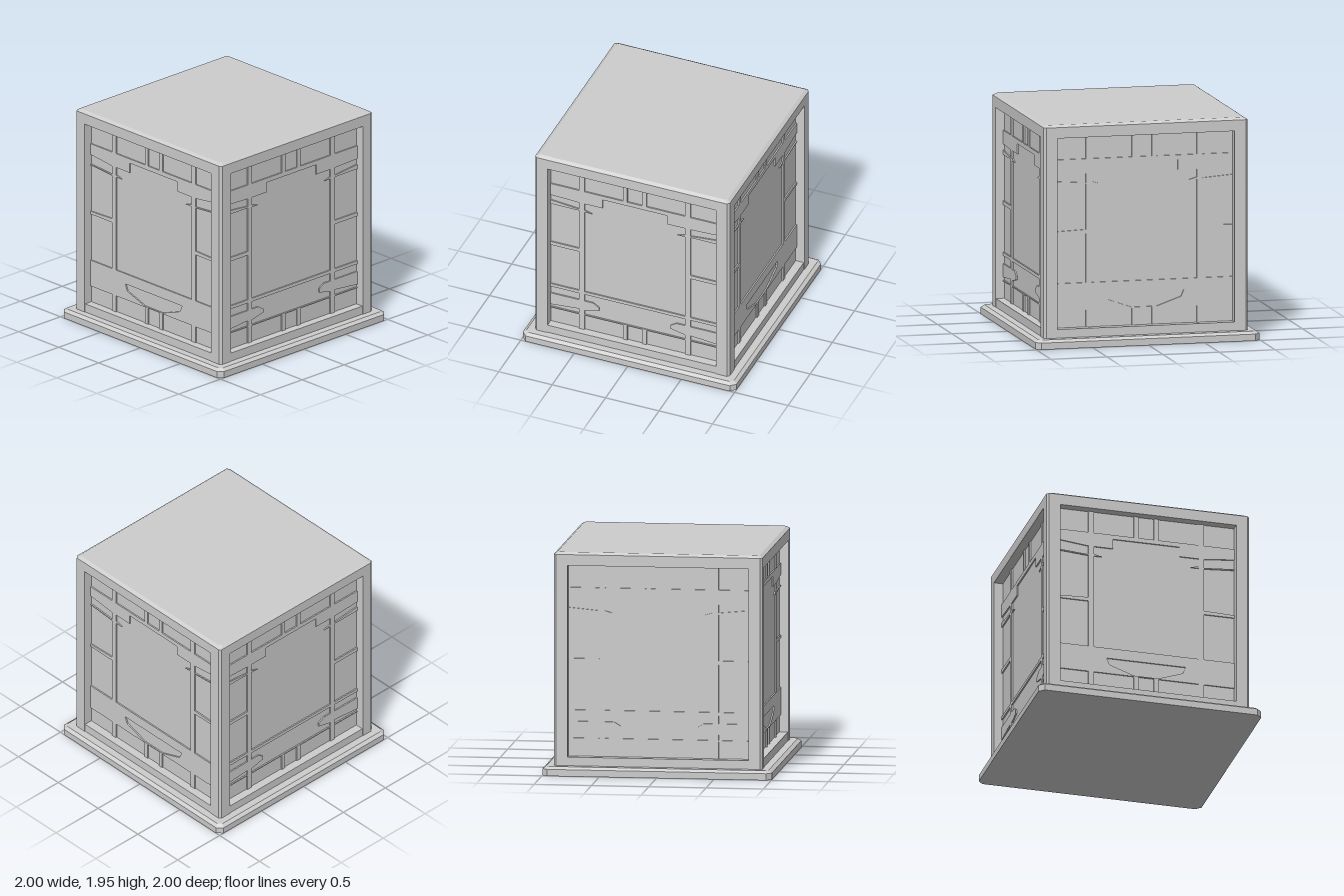
import * as THREE from 'three';
import { ConvexGeometry } from 'three/addons/geometries/ConvexGeometry.js';

const stone = new THREE.MeshStandardMaterial({ color: 0xcccccc });
stone.name = 'pale grey';

// Square block with cut corners; each ring is [half width, corner cut, height]
function block(name, rings) {
  const pts = [];
  for (const [h, c, y] of rings)
    for (const sx of [-1, 1])
      for (const sz of [-1, 1]) {
        pts.push(new THREE.Vector3(sx * h, y, sz * (h - c)));
        pts.push(new THREE.Vector3(sx * (h - c), y, sz * h));
      }
  const mesh = new THREE.Mesh(new ConvexGeometry(pts), stone);
  mesh.name = name;
  return mesh;
}

const rect = (x0, y0, x1, y1) => [[x0, y0], [x1, y0], [x1, y1], [x0, y1]];
const flip = (pts) => pts.map(([x, y]) => [-x, y]).reverse();
const symmetric = (half) => [...half, ...flip(half)];
const toPath = (pts, Type) => new Type(pts.map(([x, y]) => new THREE.Vector2(x, y)));

// Openings shared by every lattice: the small cells along the top and bottom
const sharedHalf = [
  rect(-0.79, 1.63, -0.52, 1.83),
  rect(-0.47, 1.63, -0.11, 1.83),
  rect(-0.79, 0.155, -0.52, 0.305),
  rect(-0.47, 0.155, -0.11, 0.305),
];
const sharedMiddle = [rect(-0.07, 1.63, 0.07, 1.83), rect(-0.07, 0.155, 0.07, 0.305)];

// Large stepped window, from the given sill height
const windowHole = (sill) => symmetric([
  [-0.47, sill], [-0.47, 1.41], [-0.4, 1.41], [-0.47, 1.43],
  [-0.47, 1.5], [-0.3, 1.5], [-0.3, 1.59],
]);

// Front and back: low rail with two brackets
const bracketLattice = {
  half: [
    [[-0.79, 1.455], [-0.52, 1.43], [-0.52, 1.5], [-0.79, 1.51]],
    rect(-0.79, 1.01, -0.52, 1.415),
    rect(-0.79, 0.56, -0.52, 0.975),
    rect(-0.79, 0.46, -0.52, 0.53),
    [[-0.79, 0.315], [-0.52, 0.315], [-0.52, 0.365], [-0.79, 0.34]],
  ],
  middle: [
    windowHole(0.56),
    symmetric([[-0.47, 0.315], [-0.47, 0.36], [-0.335, 0.39], [-0.335, 0.425],
      [-0.39, 0.46], [-0.47, 0.46], [-0.47, 0.53]]),
  ],
};

// Sides: solid apron with a flared opening
const apronLattice = {
  half: [
    [[-0.79, 1.44], [-0.52, 1.42], [-0.52, 1.5], [-0.79, 1.53]],
    [[-0.79, 1.0], [-0.52, 1.01], [-0.52, 1.41], [-0.79, 1.43]],
    rect(-0.79, 0.545, -0.52, 0.975),
  ],
  middle: [
    windowHole(0.545),
    symmetric([[-0.11, 0.313], [-0.33, 0.39], [-0.355, 0.45]]),
  ],
};

function latticeGeometry({ half, middle }) {
  const shape = toPath(rect(-0.8, 0.145, 0.8, 1.84), THREE.Shape);
  for (const cell of [...sharedHalf, ...half])
    shape.holes.push(toPath(cell, THREE.Path), toPath(flip(cell), THREE.Path));
  for (const hole of [...sharedMiddle, ...middle]) shape.holes.push(toPath(hole, THREE.Path));
  return new THREE.ExtrudeGeometry(shape, { depth: 0.012, bevelEnabled: false });
}

export function createModel() {
  const model = new THREE.Group();
  model.name = 'lantern';

  // Plinth, lower rail and roof
  model.add(block('plinth', [[1, 0.045, 0], [1, 0.045, 0.058], [0.97, 0.03, 0.08]]));
  model.add(block('lowerRail', [[0.905, 0.02, 0.07], [0.905, 0.02, 0.155]]));
  model.add(block('roof', [[0.91, 0.02, 1.83], [0.91, 0.02, 1.925], [0.88, 0.02, 1.945]]));

  // Inner box whose faces are the panels behind the lattices
  const panels = new THREE.Mesh(new THREE.BoxGeometry(1.66, 1.72, 1.66), stone);
  panels.position.y = 0.99;
  panels.name = 'panels';
  model.add(panels);

  // Corner posts with a cut outer edge
  const post = toPath([[0.79, 0.79], [0.91, 0.79], [0.91, 0.89], [0.89, 0.91], [0.79, 0.91]], THREE.Shape);
  const postGeo = new THREE.ExtrudeGeometry(post, { depth: 1.79, bevelEnabled: false });
  postGeo.rotateX(-Math.PI / 2).translate(0, 0.06, 0);

  // One post and one lattice for each quarter turn
  const lattices = [bracketLattice, apronLattice].map(latticeGeometry);
  const names = ['front', 'right', 'back', 'left'];
  for (let i = 0; i < 4; i++) {
    const side = new THREE.Group();
    side.name = names[i] + 'Side';
    const corner = new THREE.Mesh(postGeo, stone);
    corner.name = 'cornerPost';
    const lattice = new THREE.Mesh(lattices[i % 2], stone);
    lattice.position.z = 0.83;
    lattice.name = 'lattice';
    side.add(corner, lattice);
    side.rotation.y = (i * Math.PI) / 2;
    model.add(side);
  }
  return model;
}
